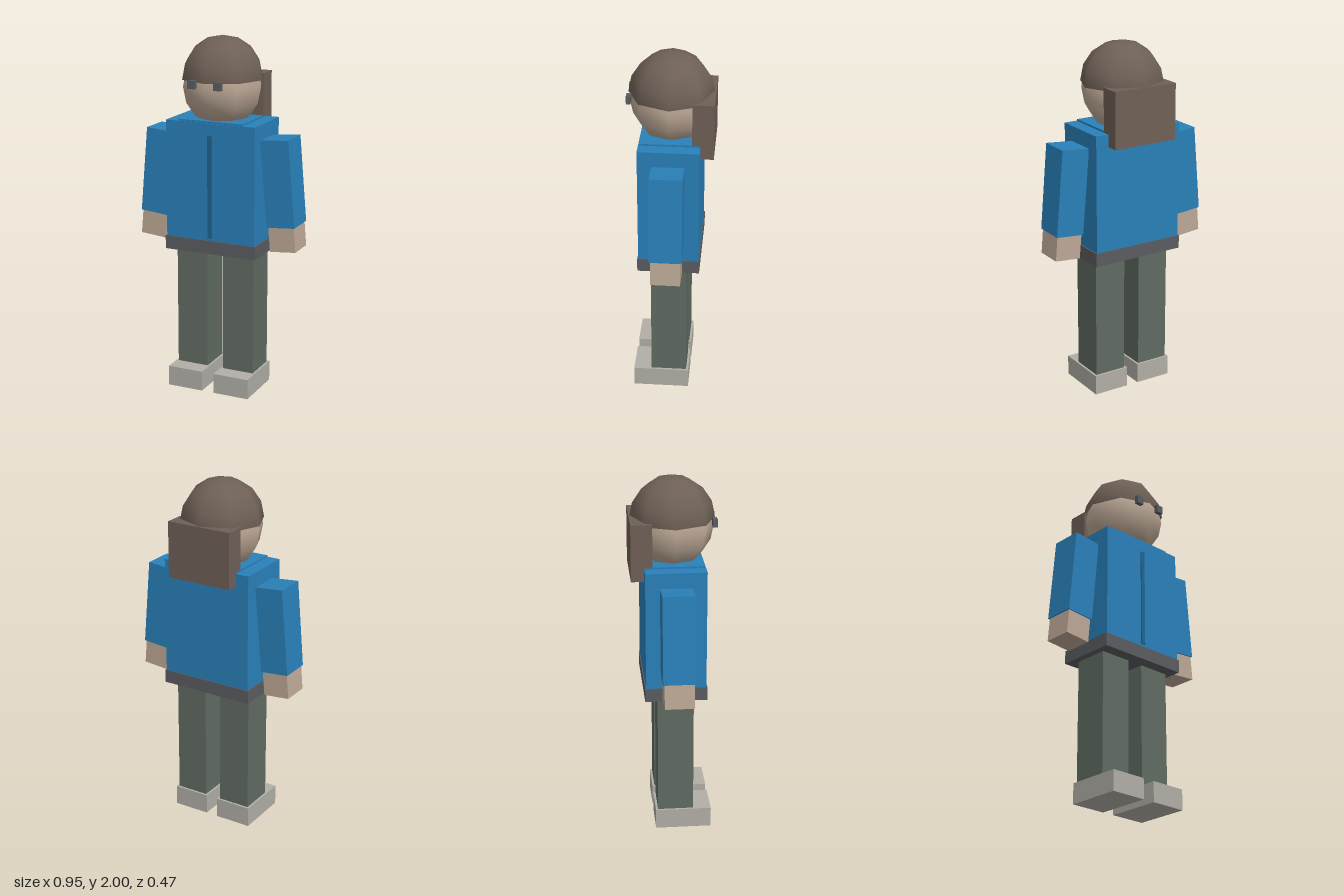
import * as THREE from 'three';

const mat = (color) => new THREE.MeshStandardMaterial({ color });

export function createModel() {
  const model = new THREE.Group();
  const jacket = mat(0x2980b9), zipBlue = mat(0x1d638f), trousers = mat(0x606b62);
  const sole = mat(0xb0aea6), skin = mat(0xbca896), hairBrown = mat(0x6e6056), dark = mat(0x5a5c60);

  const add = (name, geometry, material, x, y, z, parent = model) => {
    const mesh = new THREE.Mesh(geometry, material);
    mesh.name = name;
    mesh.position.set(x, y, z);
    parent.add(mesh);
    return mesh;
  };
  const box = (name, material, w, h, d, x, y, z, parent) =>
    add(name, new THREE.BoxGeometry(w, h, d), material, x, y, z, parent);

  // Torso
  box('torso', jacket, 0.53, 0.66, 0.33, 0, 1.213, 0);
  box('collar', jacket, 0.38, 0.06, 0.32, 0, 1.523, 0);
  box('hem', dark, 0.545, 0.075, 0.34, 0, 0.847, 0);
  box('zip', zipBlue, 0.026, 0.575, 0.02, 0, 1.187, 0.16);

  // Head and hair
  add('head', new THREE.SphereGeometry(0.227, 8, 8), skin, 0, 1.73, 0);
  const cap = add('hairCap', new THREE.SphereGeometry(0.232, 8, 4, 0, Math.PI * 2, 0, Math.PI / 2),
    hairBrown, 0, 1.768, 0);
  cap.material = hairBrown.clone();
  cap.material.side = THREE.DoubleSide;
  box('hairBack', hairBrown, 0.38, 0.313, 0.115, 0, 1.631, -0.178);

  // Paired parts
  for (const side of [1, -1]) {
    const label = side > 0 ? 'left' : 'right';
    box(label + 'Eye', dark, 0.043, 0.045, 0.025, side * 0.077, 1.758, 0.223);
    box(label + 'Leg', trousers, 0.186, 0.71, 0.2, side * 0.141, 0.465, 0);
    box(label + 'Shoe', sole, 0.211, 0.115, 0.313, side * 0.141, 0.0575, 0.044);

    // Arm tilted outwards, hand in line with the sleeve
    const arm = new THREE.Group();
    arm.name = label + 'Arm';
    arm.position.set(side * 0.365, 1.225, 0);
    arm.rotation.z = side * 0.088;
    box(label + 'Sleeve', jacket, 0.163, 0.483, 0.175, 0, 0, 0, arm);
    box(label + 'Hand', skin, 0.15, 0.15, 0.16, 0, -0.304, 0, arm);
    model.add(arm);
  }
  return model;
}
